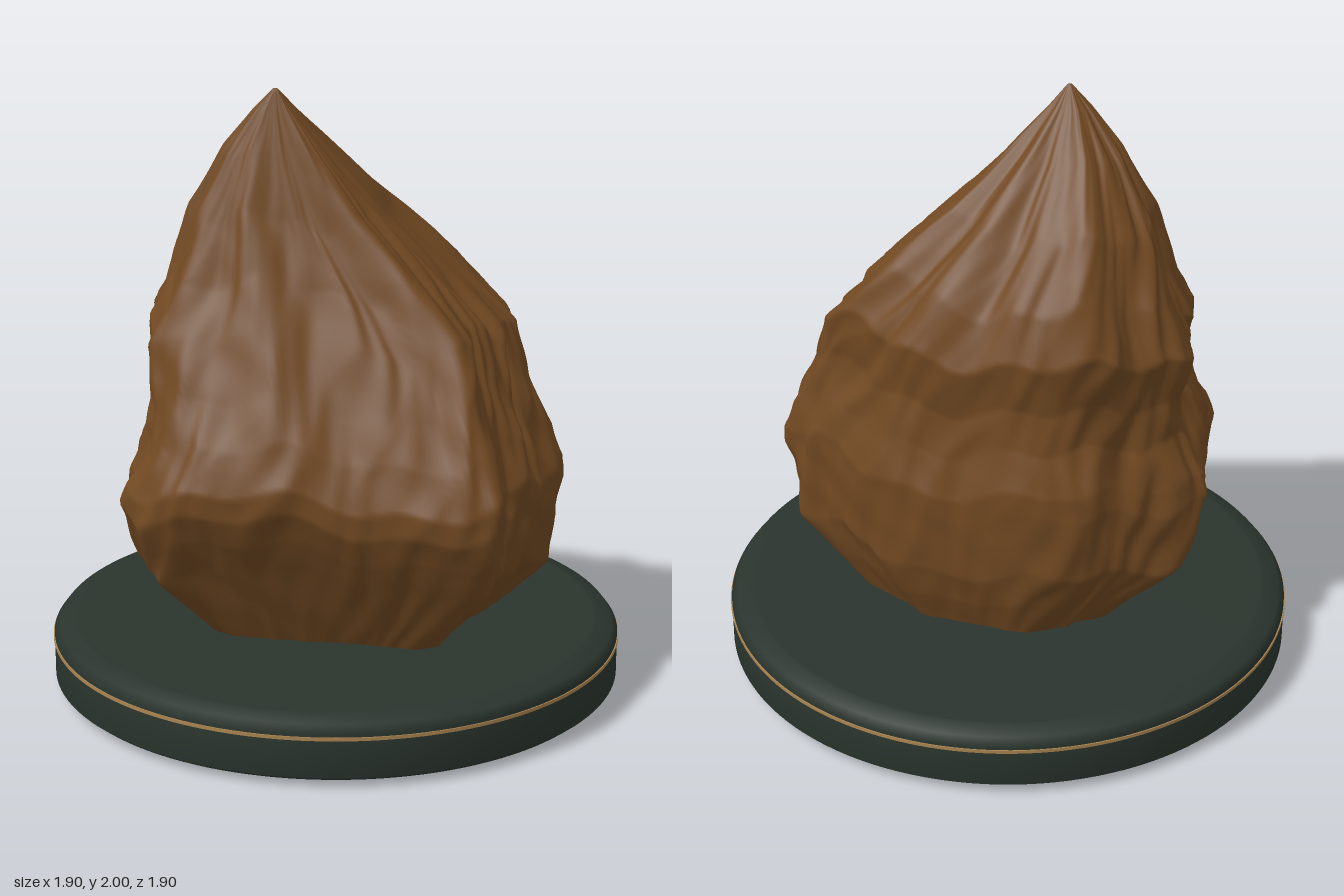
import * as THREE from 'three';

const rockMat = new THREE.MeshStandardMaterial({ color: 0x714922 });
rockMat.name = 'brown stone';
const baseMat = new THREE.MeshStandardMaterial({ color: 0x2a342d });
baseMat.name = 'dark green base';
const trimMat = new THREE.MeshStandardMaterial({ color: 0xa98450 });
trimMat.name = 'bronze trim';

// Rock extents by height: y, xMin, xMax, zMin, zMax
const LEVELS = [
  [0.18, -0.39, 0.42, -0.33, 0.30],
  [0.34, -0.54, 0.58, -0.39, 0.395],
  [0.47, -0.665, 0.685, -0.425, 0.47],
  [0.60, -0.68, 0.705, -0.435, 0.545],
  [0.70, -0.695, 0.72, -0.44, 0.59],
  [0.78, -0.675, 0.72, -0.44, 0.595],
  [0.92, -0.61, 0.67, -0.40, 0.54],
  [1.06, -0.61, 0.61, -0.38, 0.47],
  [1.24, -0.645, 0.55, -0.405, 0.39],
  [1.40, -0.56, 0.385, -0.345, 0.315],
  [1.60, -0.485, 0.175, -0.22, 0.24],
  [1.80, -0.36, 0.00, -0.06, 0.175],
  [1.93, -0.25, -0.11, 0.045, 0.13],
  [2.00, -0.18, -0.165, 0.095, 0.105],
];

// Plan outline of the rock (x, z), scaled to -1..1
const OUTLINE = [
  [-0.74, 0.95], [-0.3, 1], [0.3, 0.92], [0.65, 0.92], [0.87, 0.83], [0.92, 0.35],
  [1, 0], [0.98, -0.55], [0.72, -0.72], [0.4, -0.95], [0, -0.98], [-0.33, -1],
  [-0.55, -0.9], [-0.8, -0.6], [-1, -0.3], [-0.92, 0.1], [-0.9, 0.5],
];

function extentsAt(y) {
  let i = 0;
  while (i < LEVELS.length - 2 && y > LEVELS[i + 1][0]) i++;
  const a = LEVELS[i], b = LEVELS[i + 1];
  const t = (y - a[0]) / (b[0] - a[0]);
  return a.map((v, k) => THREE.MathUtils.lerp(v, b[k], t));
}

// Slanting weathered furrows, rougher towards both ends of the rock
function furrows(u, y) {
  const p = 2 * Math.PI * (u - 0.07 * y + 0.006 * Math.sin(6 * y + 18 * Math.PI * u));
  const rough = 0.7 - 0.3 * Math.cos(4 * Math.PI * (u - 0.115));
  const wave = 0.35 * Math.sin(11 * p + 2 * y)
    + 0.35 * (1 - 2 * Math.abs(Math.sin(9 * p + 1.5 * Math.sin(3 * y))))
    + 0.35 * Math.sin(29 * p - 3 * y) * Math.sin(5 * y + 3 * p)
    + 0.15 * Math.sin(47 * p + 4 * y)
    + 0.12 * Math.sin(38 * y + 13 * p);
  return 1 - 0.015 * rough + 0.042 * rough * wave;
}

// Uneven height at which each side of the rock bulges, settling at foot and tip
function ledge(u, y) {
  const p = 2 * Math.PI * u;
  const fade = Math.min(1, (2 - y) * 2, (y - 0.18) * 3);
  return y + fade * (0.03 * Math.sin(5 * p + 2) + 0.02 * Math.sin(13 * p + 3 * y));
}

function rockGeometry(rows = 160, cols = 280) {
  const curve = new THREE.CatmullRomCurve3(
    OUTLINE.map(([x, z]) => new THREE.Vector3(x, 0, z)), true, 'centripetal');
  const ring = curve.getSpacedPoints(cols);
  const pos = [], index = [];
  for (let i = 0; i <= rows; i++) {
    const y = THREE.MathUtils.lerp(0.18, 2, i / rows);
    for (let j = 0; j < cols; j++) {
      const u = j / cols, f = furrows(u, y);
      const [, x0, x1, z0, z1] = extentsAt(ledge(u, y));
      pos.push((x0 + x1) / 2 + ring[j].x * f * (x1 - x0) / 2, y,
        (z0 + z1) / 2 + ring[j].z * f * (z1 - z0) / 2);
      if (i === rows) continue;
      const a = i * cols + j, b = i * cols + (j + 1) % cols;
      index.push(a, b, a + cols, b, b + cols, a + cols);
    }
  }
  // Close the tip
  const tip = pos.length / 3;
  pos.push(-0.173, 2, 0.1);
  for (let j = 0; j < cols; j++) index.push(rows * cols + j, rows * cols + (j + 1) % cols, tip);
  const g = new THREE.BufferGeometry();
  g.setAttribute('position', new THREE.Float32BufferAttribute(pos, 3));
  g.setIndex(index);
  g.computeVertexNormals();
  return g;
}

export function createModel() {
  const group = new THREE.Group();
  const add = (name, geometry, material) => {
    const mesh = new THREE.Mesh(geometry, material);
    mesh.name = name;
    group.add(mesh);
  };

  // Round plinth with eased upper and lower edges
  const profile = [
    [0, 0], [0.865, 0], [0.872, 0.002], [0.925, 0.02], [0.945, 0.036],
    [0.945, 0.178], [0.925, 0.204], [0.872, 0.219], [0.865, 0.22], [0, 0.22],
  ].map(([r, y]) => new THREE.Vector2(r, y));
  add('plinth', new THREE.LatheGeometry(profile, 128), baseMat);

  // Thin metal band round the plinth
  const band = new THREE.CylinderGeometry(0.949, 0.949, 0.011, 128);
  band.translate(0, 0.164, 0);
  add('trimBand', band, trimMat);

  add('rock', rockGeometry(), rockMat);
  return group;
}
